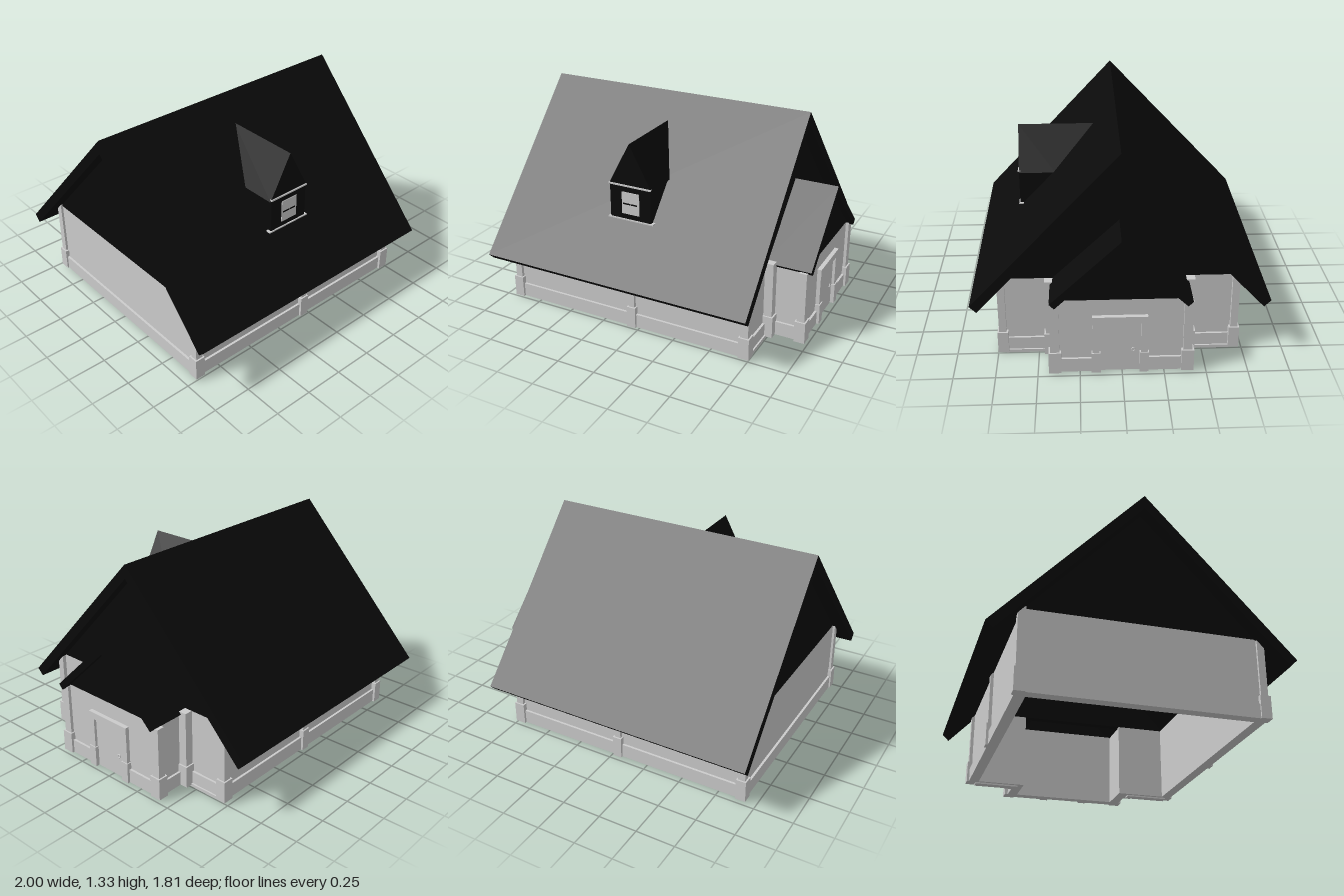
import * as THREE from 'three';

const grey = new THREE.MeshStandardMaterial({ color: 0xcccccc, flatShading: true });
const black = new THREE.MeshStandardMaterial({ color: 0x0a0a0a, flatShading: true });

export function createModel() {
  const house = new THREE.Group();
  house.name = 'house';

  const add = (name, geo, mat = grey) => {
    const m = new THREE.Mesh(geo, mat);
    m.name = name;
    house.add(m);
    return m;
  };
  // Box given by its limits on each axis
  const box = (name, x0, x1, y0, y1, z0, z1, mat) => {
    const g = new THREE.BoxGeometry(x1 - x0, y1 - y0, z1 - z0);
    g.translate((x0 + x1) / 2, (y0 + y1) / 2, (z0 + z1) / 2);
    return add(name, g, mat);
  };
  const toShape = (pts) => new THREE.Shape(pts.map(([a, b]) => new THREE.Vector2(a, b)));
  // Cross-section in (z, y), extruded along x
  const alongX = (name, pts, x0, x1, mat) => {
    const g = new THREE.ExtrudeGeometry(toShape(pts.map(([z, y]) => [-z, y])), { depth: x1 - x0, bevelEnabled: false });
    g.rotateY(Math.PI / 2).translate(x0, 0, 0);
    return add(name, g, mat);
  };
  // Two sloping slabs meeting at a ridge
  const gableRoof = (name, zc, half, ridge, eave, lip, x0, x1) => {
    const slope = (ridge - eave) / half;
    const under = eave - lip + slope * (half - lip);
    alongX(name, [
      [zc, ridge], [zc + half, eave], [zc + half - lip, eave - lip],
      [zc, under], [zc - half + lip, eave - lip], [zc - half, eave],
    ], x0, x1, black);
  };

  // Hollow walls following the L-shaped steps of the porch
  const footprint = (d) => [
    [-0.91 + d, -0.72 + d], [0.72 - d, -0.72 + d], [0.72 - d, -0.4 + d], [0.955 - d, -0.4 + d],
    [0.955 - d, 0.39 - d], [0.72 - d, 0.39 - d], [0.72 - d, 0.7 - d], [-0.91 + d, 0.7 - d],
  ];
  const outline = toShape(footprint(0));
  outline.holes.push(toShape(footprint(0.05)));
  const walls = new THREE.ExtrudeGeometry(outline, { depth: 0.5, bevelEnabled: false });
  walls.rotateX(-Math.PI / 2).translate(0, 0.01, 0);
  add('walls', walls);

  // Plinth strips: x0, x1, z0, z1
  [
    [-0.925, 0.735, 0.69, 0.735], [-0.925, 0.735, -0.715, -0.67], [-0.925, -0.88, -0.715, 0.735],
    [0.69, 0.735, 0.38, 0.735], [0.69, 0.735, -0.715, -0.37],
    [0.7, 0.97, 0.37, 0.415], [0.7, 0.97, -0.405, -0.36],
    [0.925, 0.97, 0.16, 0.415], [0.925, 0.97, -0.405, -0.14],
  ].forEach(([x0, x1, z0, z1]) => box('plinth', x0, x1, 0.01, 0.1, z0, z1));
  [[0.42, 0.7], [-0.67, -0.38]].forEach(([z0, z1]) => box('footing', 0.69, 0.745, 0, 0.02, z0, z1));

  // Pillars: a slim shaft on a wider base block
  const pillar = (x0, x1, z0, z1, top) => {
    const i = 0.01;
    box('pillarShaft', x0 + i, x1 - i, 0.15, top, z0 + i, z1 - i);
    box('pillarBase', x0, x1, 0.01, 0.15, z0, z1);
  };
  [[-0.935, -0.87], [-0.075, -0.015], [0.685, 0.755]].forEach(([x0, x1]) => {
    pillar(x0, x1, 0.685, 0.75, 0.52);
    pillar(x0, x1, -0.73, -0.665, 0.52);
  });
  pillar(0.685, 0.785, 0.385, 0.465, 0.51);
  pillar(0.685, 0.785, -0.455, -0.375, 0.51);
  pillar(0.915, 0.985, 0.36, 0.435, 0.48);
  pillar(0.915, 0.985, -0.425, -0.35, 0.48);

  // Main roof and its end gables
  gableRoof('mainRoof', 0, 0.905, 1.33, 0.365, 0.042, -1, 0.795);
  const gable = [[-0.7, 0.51], [0.7, 0.51], [0, 1.28]];
  alongX('leftGable', gable, -0.912, -0.86, black);
  alongX('rightGable', gable, 0.67, 0.722, black);

  // Porch roof and gable
  gableRoof('porchRoof', 0.007, 0.415, 0.89, 0.495, 0.03, 0.7, 1);
  alongX('porchGable', [[-0.345, 0.5], [0.355, 0.5], [0.355, 0.53], [0.007, 0.86], [-0.345, 0.53]], 0.92, 0.965, black);

  // Door with frame, frame feet and ring handle
  box('door', 0.95, 0.962, 0.01, 0.345, -0.11, 0.135);
  box('frameTop', 0.95, 0.982, 0.345, 0.39, -0.15, 0.175);
  [[0.135, 0.175], [-0.15, -0.11]].forEach(([z0, z1]) => {
    box('frameSide', 0.95, 0.98, 0.01, 0.345, z0, z1);
    box('frameFoot', 0.95, 0.987, 0.01, 0.145, z0 - 0.007, z1 + 0.007);
  });
  const ring = new THREE.TorusGeometry(0.011, 0.003, 6, 14);
  ring.rotateY(Math.PI / 2).translate(0.966, 0.155, -0.065);
  add('doorHandle', ring);

  // Dormer: front profile swept back until it meets the roof slope
  const profile = [[-0.14, 0.68], [0.14, 0.68], [0.14, 0.9], [0.15, 0.9], [0, 1.18], [-0.15, 0.9], [-0.14, 0.9]];
  const front = profile.map(([x, y]) => [x - 0.1, y, 0.625]);
  const back = profile.map(([x, y]) => [x - 0.1, y, (1.33 - y) / 1.066 - 0.012]);
  const index = [];
  const n = profile.length;
  for (let i = 0; i < n; i++) {
    const j = (i + 1) % n;
    index.push(i, n + i, j, j, n + i, n + j);
  }
  THREE.ShapeUtils.triangulateShape(profile.map(([x, y]) => new THREE.Vector2(x, y)), [])
    .forEach((f) => index.push(...f));
  const dormer = new THREE.BufferGeometry();
  dormer.setAttribute('position', new THREE.Float32BufferAttribute([...front, ...back].flat(), 3));
  dormer.setIndex(index);
  const dormerFlat = dormer.toNonIndexed();
  dormerFlat.computeVertexNormals();
  add('dormer', dormerFlat, black);

  // Dormer trim and window
  box('dormerUpperTrim', -0.245, 0.045, 0.905, 0.915, 0.615, 0.632);
  box('dormerSill', -0.255, 0.058, 0.682, 0.69, 0.6, 0.632);
  box('window', -0.157, -0.037, 0.725, 0.868, 0.615, 0.63);
  [[-0.147, -0.101], [-0.095, -0.05]].forEach(([x0, x1]) =>
    box('windowSlot', x0, x1, 0.788, 0.797, 0.62, 0.632, black));

  return house;
}
